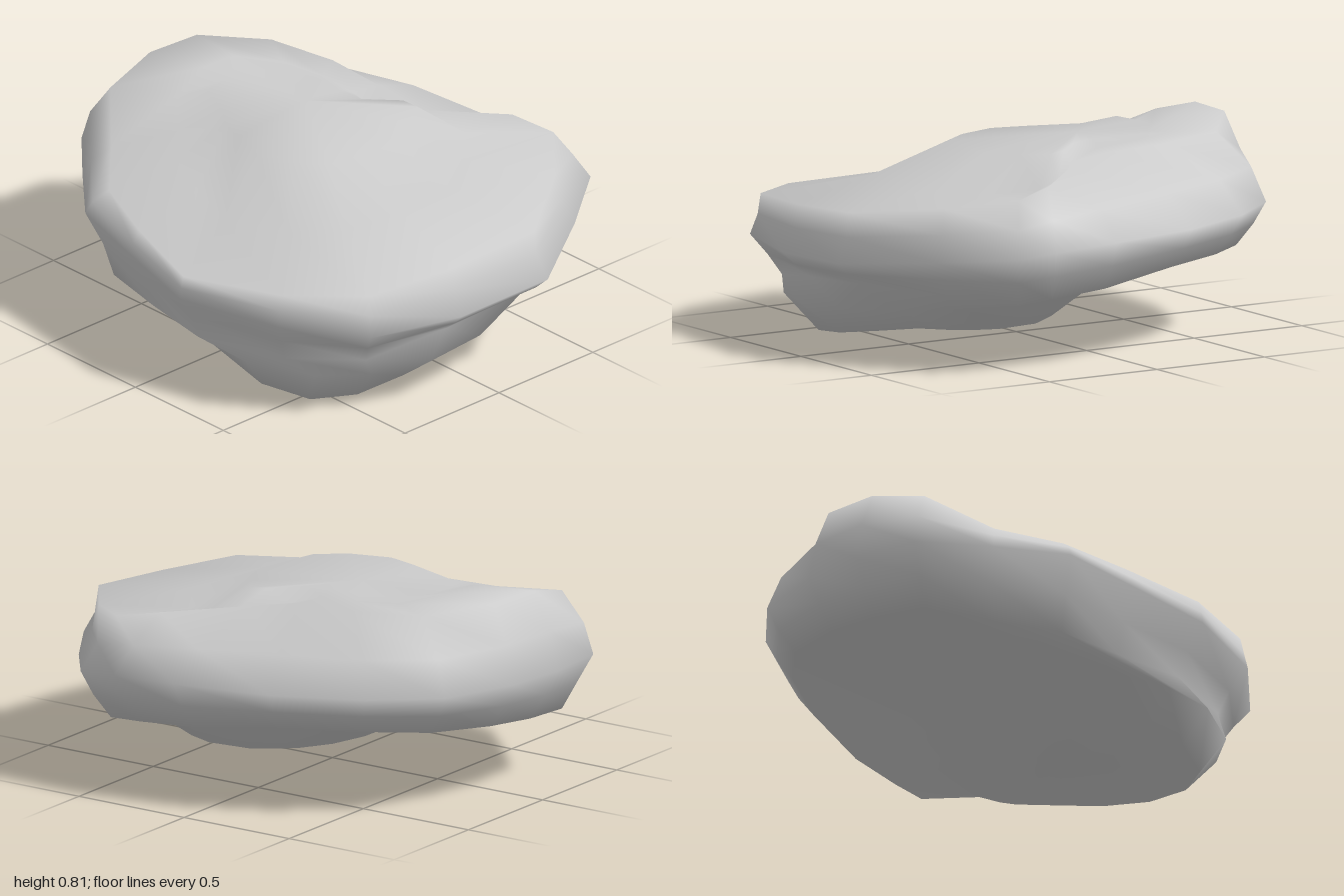
import * as THREE from 'three';

// Stations round the rock: outline x, z, ridge scale, ridge height, underside height
const STATIONS = [
  [1.0, -0.26, 0.94, 0.60, 0.31], [0.97, 0.17, 0.94, 0.57, 0.28],
  [0.87, 0.56, 0.96, 0.55, 0.23], [0.58, 0.78, 0.97, 0.53, 0.21],
  [0.15, 0.90, 0.98, 0.50, 0.20], [-0.20, 0.84, 0.95, 0.54, 0.20],
  [-0.52, 0.78, 0.90, 0.58, 0.21], [-0.75, 0.58, 0.88, 0.63, 0.23],
  [-0.98, 0.37, 0.88, 0.75, 0.27], [-1.0, 0.10, 0.89, 0.81, 0.29],
  [-0.97, -0.16, 0.90, 0.81, 0.31], [-0.86, -0.46, 0.80, 0.78, 0.33],
  [-0.62, -0.66, 0.66, 0.77, 0.34], [-0.28, -0.82, 0.53, 0.76, 0.34],
  [0.12, -0.90, 0.52, 0.72, 0.30], [0.40, -0.90, 0.79, 0.71, 0.28],
  [0.57, -0.89, 0.86, 0.68, 0.27], [0.77, -0.62, 0.92, 0.64, 0.29],
];
// Highest part of the plateau, towards the back right
const CREST = [-0.22, 0.785, -0.1];
const { lerp, smoothstep } = THREE.MathUtils;

// One vertical profile of the rock, from the crest to the bottom centre
function profile([x, z, s, ridgeY, lowY]) {
  const angle = Math.atan2(z, x), c = Math.cos(angle), d = Math.sin(angle);
  const at = (k, y) => [x * k, y, z * k];
  const top = (k, y) => [lerp(CREST[0], x * s, k), y, lerp(CREST[2], z * s, k)];
  const leftness = Math.max(0, c) ** 2, frontness = Math.max(0, d);
  // where the ridge is low, the plateau drops by a step to a ledge
  const plateau = smoothstep(ridgeY, 0.57, 0.77);
  // shallow hollow between the plateau and the back left rim
  const hollow = 0.1 * Math.max(0, c) * Math.max(0, -d);
  const wideY = Math.min(0.5, ridgeY - 0.09) - 0.1 * leftness;
  // rounded lump hanging below the main slab, with a tip at the front left
  const lump = (rx, rz) => [0.27 + rx * c, 0.12 + rz * d];
  const tip = 1 + 0.13 * Math.max(0, Math.cos(angle - 0.87)) ** 4;
  const [ux, uz] = lump(0.6, 0.64), [bx, bz] = lump(0.4 * tip, 0.5 * tip);
  return [
    CREST,
    top(lerp(0.4, 0.5, plateau), lerp(0.755, 0.785, plateau)),
    top(0.65, ridgeY + 0.07 * (1 - plateau) - hollow),
    at(s, ridgeY),
    at(lerp(s, 1, 0.7 - 0.6 * leftness), lerp(wideY, ridgeY, 0.5)),
    at(1, wideY),
    at(0.95 - 0.03 * frontness, lerp(wideY, lowY, 0.5)),
    at(0.88, lowY),
    [ux, 0.195 - 0.02 * c - 0.03 * d, uz],
    [bx, Math.min(0.1, 0.174 - 0.16 * bx - 0.15 * bz), bz],
    [0.27, 0.08, 0.12],
  ];
}

// Skin neighbouring profiles into a closed smooth surface
function loft(profiles) {
  const n = profiles.length, rows = profiles[0].length;
  const positions = [...profiles[0][0]], index = [];
  for (let r = 1; r < rows - 1; r++) for (const p of profiles) positions.push(...p[r]);
  positions.push(...profiles[0][rows - 1]);
  const last = positions.length / 3 - 1;
  const id = (r, i) => 1 + (r - 1) * n + (i % n);
  for (let i = 0; i < n; i++) {
    index.push(0, id(1, i + 1), id(1, i));
    for (let r = 1; r < rows - 2; r++) {
      const a = id(r, i), b = id(r, i + 1), c = id(r + 1, i), d = id(r + 1, i + 1);
      index.push(a, b, c, b, d, c);
    }
    index.push(last, id(rows - 2, i), id(rows - 2, i + 1));
  }
  const geometry = new THREE.BufferGeometry();
  geometry.setAttribute('position', new THREE.Float32BufferAttribute(positions, 3));
  geometry.setIndex(index);
  geometry.computeVertexNormals();
  return geometry;
}

export function createModel() {
  const group = new THREE.Group();
  group.name = 'rock';
  const rock = new THREE.Mesh(
    loft(STATIONS.map(profile)),
    new THREE.MeshStandardMaterial({ color: 0xcccccc })
  );
  rock.name = 'boulder';
  group.add(rock);
  return group;
}
